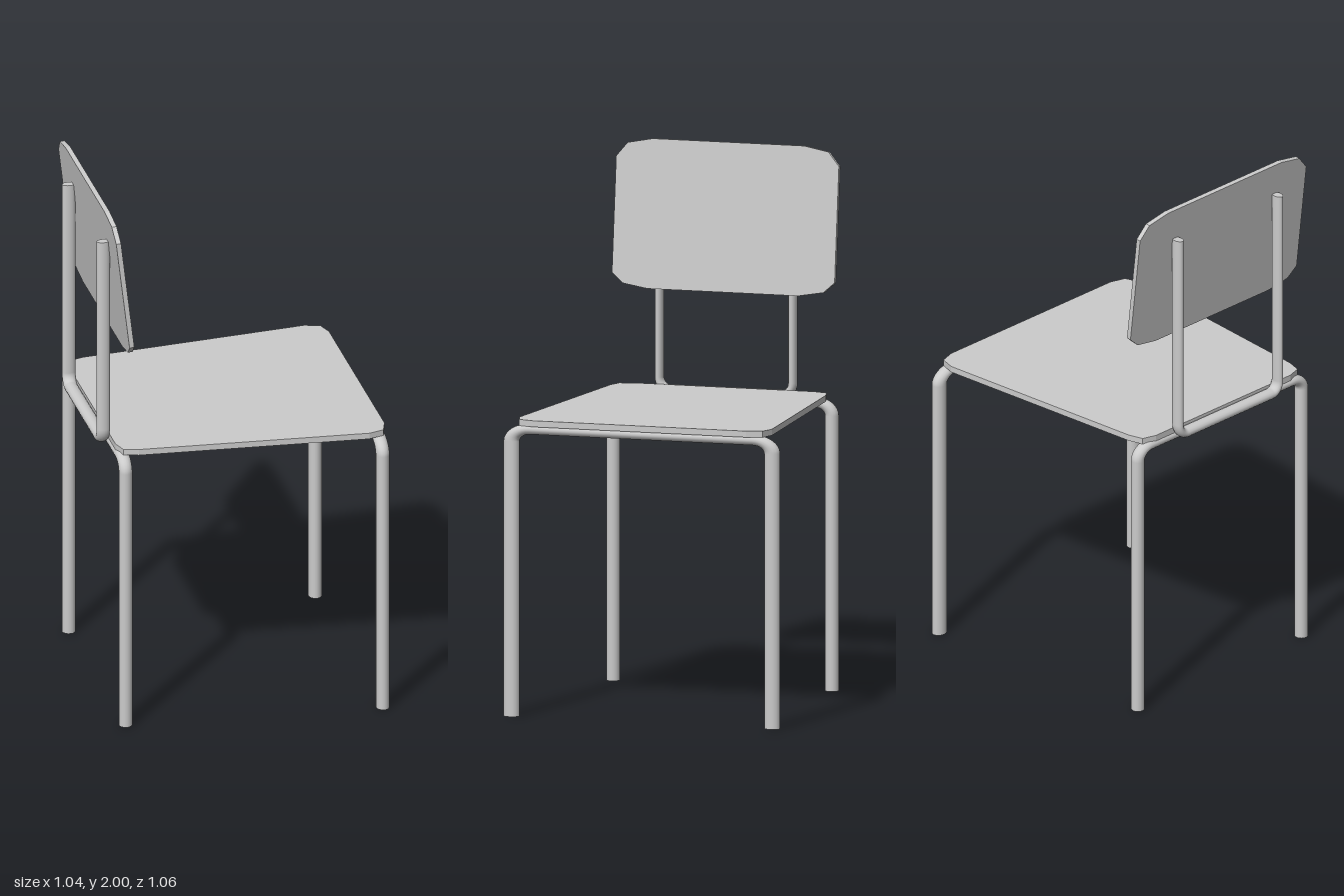
import * as THREE from 'three';
import { mergeGeometries } from 'three/addons/utils/BufferGeometryUtils.js';

const material = new THREE.MeshStandardMaterial({ color: 0xcccccc });
const TUBE = 0.025; // tube radius
const BEND = 0.06; // bend radius at the tube's centre line
const SQUASH = 0.77; // vertical flattening of the bent tubes
const SIDES = 16;

// Bent tube shaped like an upside-down U in the yz plane, feet on y = 0.
// halfWidth and height run to the centre line; stretch widens it along z.
function bentTube(halfWidth, height, stretch) {
  const w = halfWidth / stretch;
  const h = height / SQUASH;
  const legLength = h - BEND;
  const parts = [
    new THREE.CylinderGeometry(TUBE, TUBE, 2 * (w - BEND), SIDES, 1, true)
      .rotateZ(Math.PI / 2).translate(0, h, 0),
  ];
  for (const s of [1, -1]) {
    parts.push(new THREE.CylinderGeometry(TUBE, TUBE, legLength, SIDES)
      .translate(s * w, legLength / 2, 0));
    parts.push(new THREE.TorusGeometry(BEND, TUBE, SIDES, 8, Math.PI / 2)
      .rotateZ(s > 0 ? 0 : Math.PI / 2)
      .translate(s * (w - BEND), legLength, 0));
  }
  return mergeGeometries(parts).rotateY(Math.PI / 2).scale(1, SQUASH, stretch);
}

// Flat board from half an outline, mirrored across the first or second axis.
function board(half, mirrorX, thickness) {
  const other = half.map(([a, b]) => (mirrorX ? [-a, b] : [a, -b])).reverse();
  const shape = new THREE.Shape([...half, ...other].map(([a, b]) => new THREE.Vector2(a, b)));
  return new THREE.ExtrudeGeometry(shape, { depth: thickness, bevelEnabled: false })
    .translate(0, 0, -thickness / 2);
}

export function createModel() {
  const chair = new THREE.Group();
  chair.name = 'chair';
  const add = (name, geometry, x, y, z) => {
    const mesh = new THREE.Mesh(geometry, material);
    mesh.name = name;
    mesh.position.set(x, y, z);
    chair.add(mesh);
    return mesh;
  };

  // Leg frames: the front one is wider
  add('frontLegFrame', bentTube(0.5, 1.061, 1.19), 0.49, 0, 0);
  add('backLegFrame', bentTube(0.42, 1.061, 1), -0.457, 0, 0);

  // Backrest support: the same bent tube turned over, ends pointing up
  add('backrestSupport', bentTube(0.256, 0.8, 0.64).rotateX(Math.PI), -0.499, 1.875, 0);

  // Seat: tapers toward the back, with clipped corners
  const seatHalf = [
    [0.52, 0.41], [0.502, 0.467], [0.445, 0.484],
    [-0.405, 0.414], [-0.46, 0.398], [-0.476, 0.345],
  ];
  add('seat', board(seatHalf, false, 0.023).rotateX(-Math.PI / 2), 0, 1.0855, 0);

  // Backrest: rounded board leaning back
  const backrestHalf = [
    [0.29, -0.274], [0.385, -0.258], [0.427, -0.22],
    [0.427, 0.205], [0.385, 0.256], [0.29, 0.274],
  ];
  const backrest = add('backrest',
    board(backrestHalf, true, 0.018).rotateY(Math.PI / 2), -0.457, 1.7275, -0.014);
  backrest.rotation.z = 0.118;

  return chair;
}
